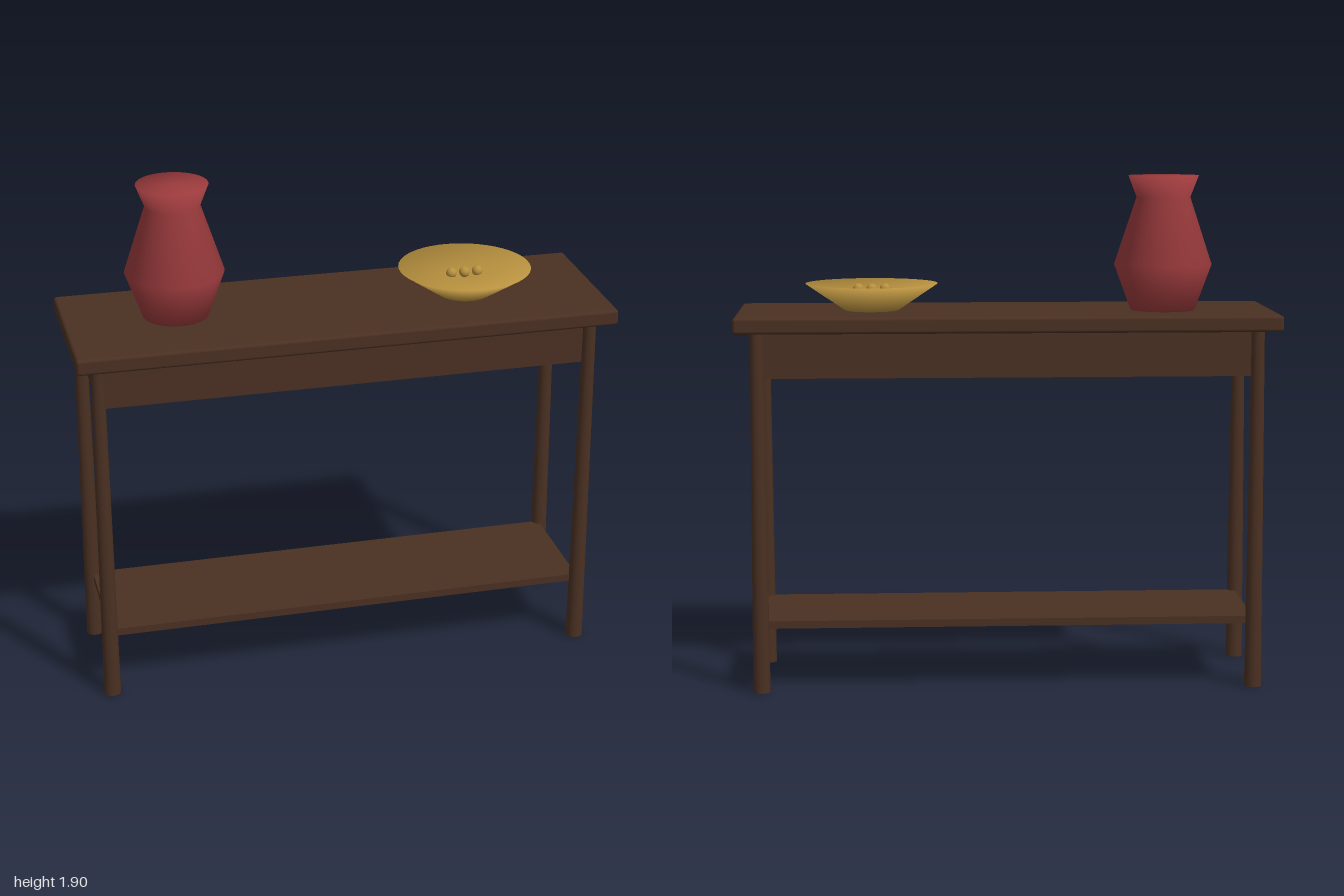
import * as THREE from 'three';
import { RoundedBoxGeometry } from 'three/addons/geometries/RoundedBoxGeometry.js';

export function createModel() {
  const group = new THREE.Group();
  const wood = new THREE.MeshStandardMaterial({ color: 0x4a3022 });
  const red = new THREE.MeshStandardMaterial({ color: 0x9a3a3c, side: THREE.DoubleSide });
  const gold = new THREE.MeshStandardMaterial({ color: 0xb8913f, side: THREE.DoubleSide });

  const add = (name, geometry, material, x, y, z) => {
    const mesh = new THREE.Mesh(geometry, material);
    mesh.name = name;
    mesh.position.set(x, y, z);
    group.add(mesh);
  };
  const lathe = (points) =>
    new THREE.LatheGeometry(points.map(([r, y]) => new THREE.Vector2(r, y)), 48);

  // Table top, apron and lower shelf
  add('tableTop', new RoundedBoxGeometry(2, 0.06, 0.63, 3, 0.012), wood, 0, 1.37, 0);
  add('apron', new THREE.BoxGeometry(1.83, 0.17, 0.46), wood, 0, 1.255, 0);
  add('shelf', new THREE.BoxGeometry(1.83, 0.028, 0.46), wood, 0, 0.252, 0);

  // Round legs, slightly thicker at the foot
  const leg = new THREE.CylinderGeometry(0.024, 0.032, 1.34, 24);
  for (const x of [-0.918, 0.918]) {
    for (const z of [-0.233, 0.233]) add('leg', leg, wood, x, 0.67, z);
  }

  // Vase with a wide belly, narrow neck and flared rim
  add('vase', lathe([
    [0, 0], [0.12, 0], [0.182, 0.17], [0.1, 0.42], [0.131, 0.5], [0, 0.5],
  ]), red, -0.587, 1.4, -0.035);

  // Shallow dish with three beads in the middle
  add('dish', lathe([[0, 0], [0.1, 0], [0.247, 0.1], [0, 0.06]]), gold, 0.5, 1.4, 0);
  const bead = new THREE.SphereGeometry(0.02, 20, 14);
  for (const x of [0.45, 0.5, 0.55]) add('bead', bead, gold, x, 1.479, 0);

  return group;
}
